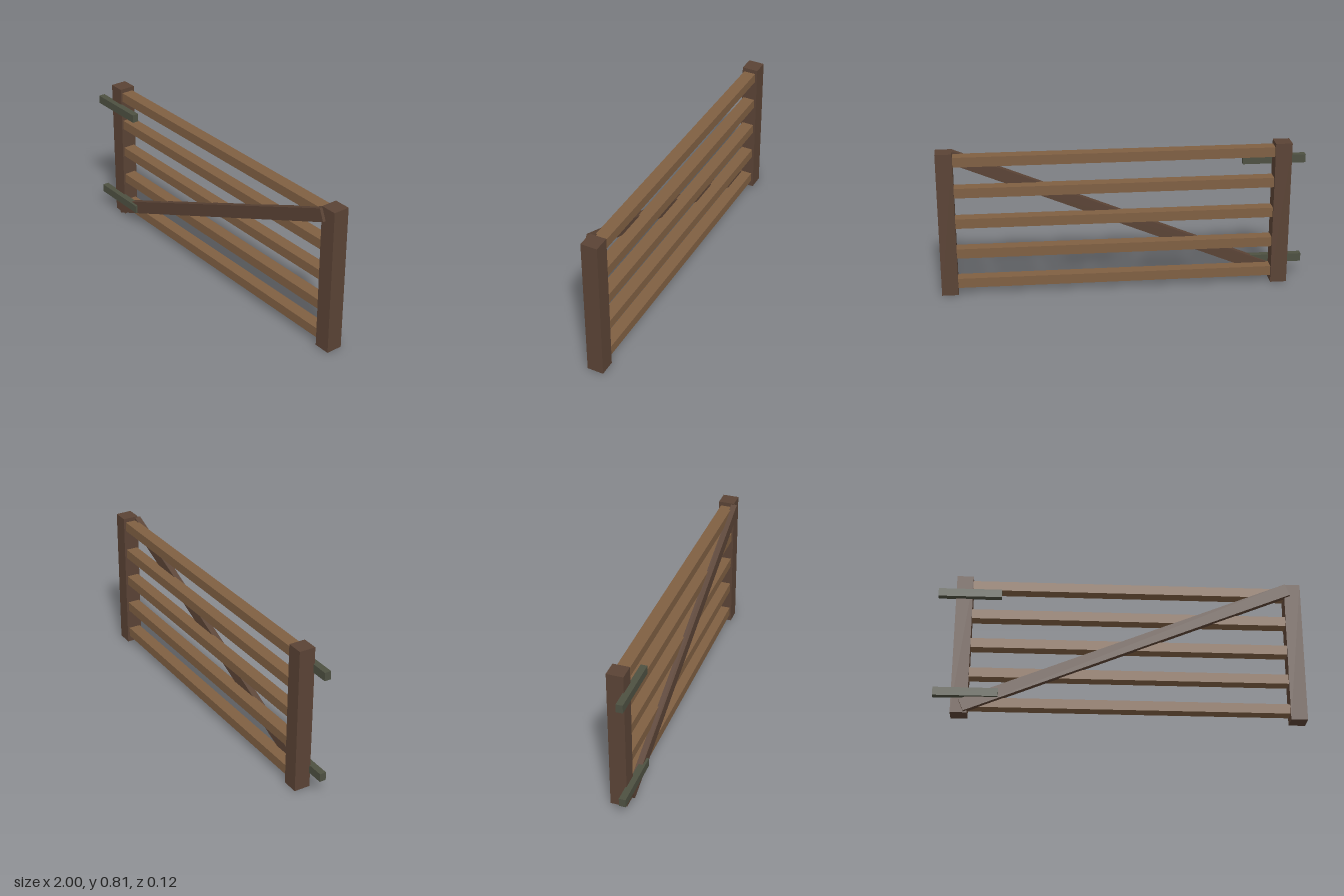
import * as THREE from 'three';

const material = (name, color) => {
  const m = new THREE.MeshStandardMaterial({ color });
  m.name = name;
  return m;
};

export function createModel() {
  const gate = new THREE.Group();
  gate.name = 'fieldGate';
  const darkWood = material('darkWood', 0x5a4335);
  const lightWood = material('lightWood', 0x7f5f42);
  const iron = material('iron', 0x4d5041);

  const beam = (name, mat, size, position) => {
    const mesh = new THREE.Mesh(new THREE.BoxGeometry(...size), mat);
    mesh.name = name;
    mesh.position.set(...position);
    gate.add(mesh);
    return mesh;
  };

  // End posts
  beam('hingePost', darkWood, [0.09, 0.81, 0.09], [-0.86, 0.405, -0.015]);
  beam('latchPost', darkWood, [0.09, 0.81, 0.09], [0.955, 0.405, -0.015]);

  // Five horizontal rails between the posts
  for (let i = 0; i < 5; i++) {
    beam(`rail${i + 1}`, lightWood, [1.75, 0.054, 0.068], [0.0475, 0.064 + i * 0.174, -0.014]);
  }

  // Diagonal brace across the front
  const brace = beam('diagonalBrace', darkWood, [1.922, 0.07, 0.034], [0.0385, 0.404, 0.03]);
  brace.rotation.z = THREE.MathUtils.degToRad(22.5);

  // Hinge straps
  beam('lowerHinge', iron, [0.345, 0.046, 0.036], [-0.8275, 0.107, 0.042]);
  beam('upperHinge', iron, [0.345, 0.046, 0.036], [-0.8275, 0.694, 0.042]);

  return gate;
}
